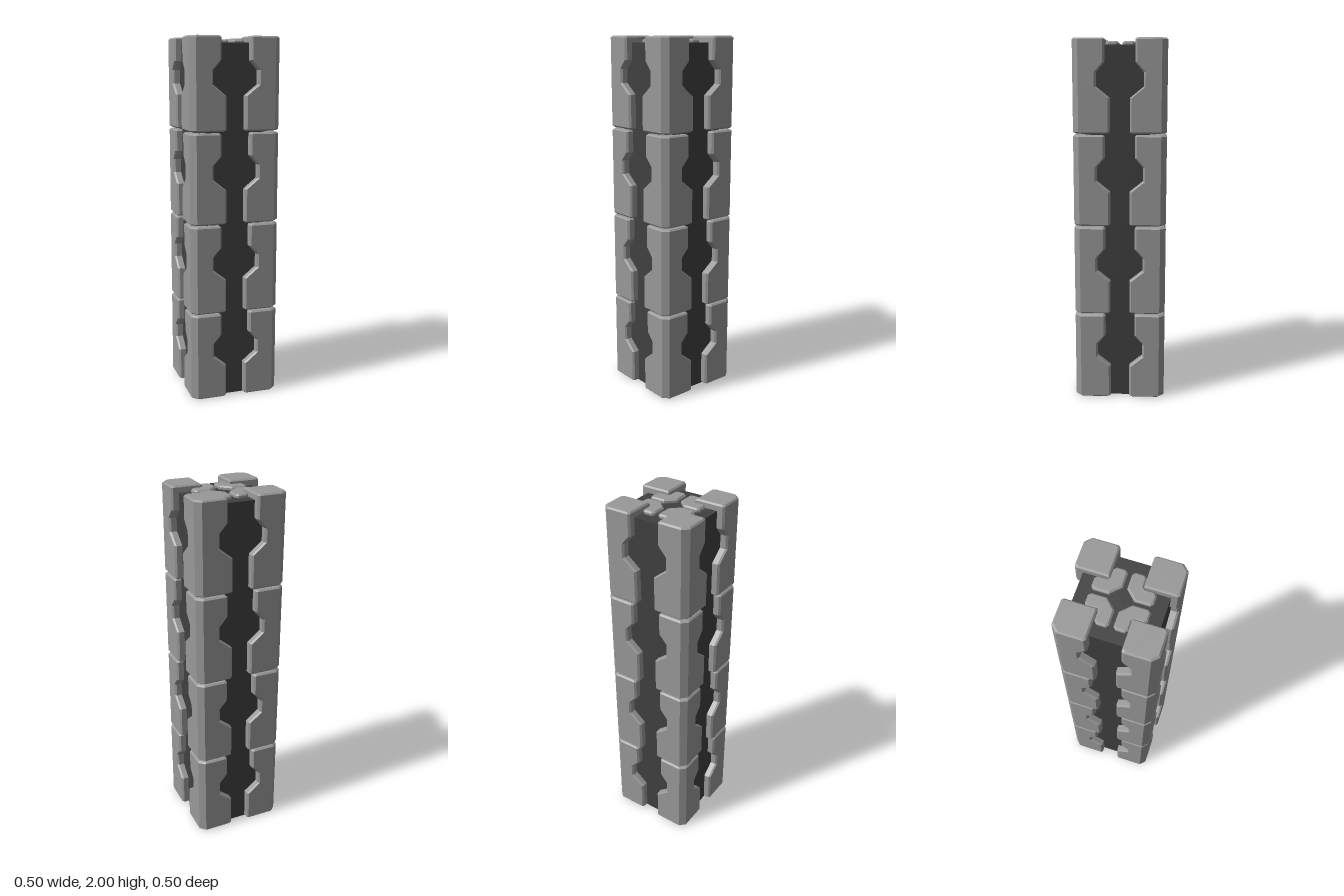
import * as THREE from 'three';

const armourMat = new THREE.MeshStandardMaterial({ color: 0x999999, flatShading: true });
const coreMat = new THREE.MeshStandardMaterial({ color: 0x404040, flatShading: true });

const OUT = 0.25;    // half width of the column
const INNER = 0.19;  // inner face of the armour
const BEVEL = 0.008;

// Closed solid through rings of [x, z] points, ordered counter-clockwise from above
function loft(levels) {
  const pos = [];
  const put = (ring, i) => pos.push(ring.pts[i][0], ring.y, ring.pts[i][1]);
  const n = levels[0].pts.length;
  for (let k = 0; k < levels.length - 1; k++) {
    const lo = levels[k], hi = levels[k + 1];
    for (let i = 0; i < n; i++) {
      const j = (i + 1) % n;
      put(lo, i); put(lo, j); put(hi, j);
      put(lo, i); put(hi, j); put(hi, i);
    }
  }
  const fill = (ring, up) => {
    const contour = ring.pts.map(([x, z]) => new THREE.Vector2(x, -z));
    for (const [a, b, c] of THREE.ShapeUtils.triangulateShape(contour, [])) {
      for (const i of up ? [a, b, c] : [a, c, b]) put(ring, i);
    }
  };
  fill(levels[0], false);
  fill(levels[levels.length - 1], true);
  const geo = new THREE.BufferGeometry();
  geo.setAttribute('position', new THREE.Float32BufferAttribute(pos, 3));
  geo.computeVertexNormals();
  return geo;
}

// Outer edge of a corner: chamfered corner, arms ending at w, shrunk by d
function outerEdge(w, d) {
  const o = OUT - d, e = w + d, c = 0.031, b = 0.01;
  return [[e, o - b], [e + b, o], [o - c, o], [o, o - c], [o, e + b], [o - b, e]];
}
const angleSection = (y, w, d = 0) =>
  ({ y, pts: [...outerEdge(w, d), [INNER, w + d], [INNER, INNER], [w + d, INNER]] });
const capSection = (y, w, d = 0) =>
  ({ y, pts: [...outerEdge(w, d), [w + d, w + d]] });

// One armour angle, with the notch in both arms
function armourSegment(y0, isTop) {
  const s = y0 + 0.006, t = y0 + 0.497;
  const levels = [
    angleSection(s, 0.053, BEVEL), angleSection(s + BEVEL, 0.053),
    angleSection(y0 + 0.192, 0.053), angleSection(y0 + 0.25, 0.125),
    angleSection(y0 + 0.325, 0.125), angleSection(y0 + 0.375, 0.081),
  ];
  if (isTop) levels.push(angleSection(1.95, 0.081));
  else levels.push(angleSection(t - BEVEL, 0.081), angleSection(t, 0.081, BEVEL));
  return loft(levels);
}

// Bevelled angle-shaped pad on the top plate
function padGeometry() {
  const shape = new THREE.Shape([
    [0.01, 0.06], [0.06, 0.01], [0.135, 0.01], [0.148, 0.023], [0.148, 0.066],
    [0.134, 0.08], [0.09, 0.08], [0.08, 0.09], [0.08, 0.134], [0.066, 0.148],
    [0.023, 0.148], [0.01, 0.135],
  ].map(([x, y]) => new THREE.Vector2(x, y)));
  const geo = new THREE.ExtrudeGeometry(shape, {
    depth: 0.02, bevelEnabled: true, bevelSegments: 1,
    bevelSize: BEVEL, bevelThickness: BEVEL, bevelOffset: -BEVEL,
  });
  return geo.rotateX(-Math.PI / 2);
}

export function createModel() {
  const model = new THREE.Group();
  const add = (parent, name, geo, mat) => {
    const mesh = new THREE.Mesh(geo, mat);
    mesh.name = name;
    parent.add(mesh);
    return mesh;
  };

  // Top plate closing the hollow core
  add(model, 'topPlate', new THREE.BoxGeometry(0.418, 0.03, 0.418), coreMat).position.y = 1.95;

  const segments = [0, 1, 2, 3].map((i) => armourSegment(i * 0.5, i === 3));
  const cap = loft([
    capSection(1.95, 0.081), capSection(2 - BEVEL, 0.081), capSection(2, 0.081, BEVEL),
  ]);
  const pad = padGeometry();
  const panel = new THREE.BoxGeometry(0.32, 1.93, 0.025);

  // Four equal quarters around the axis; the bottom stays open
  for (let q = 0; q < 4; q++) {
    const quarter = new THREE.Group();
    quarter.name = 'quarter' + (q + 1);
    quarter.rotation.y = q * Math.PI / 2;
    segments.forEach((geo, i) => add(quarter, 'cornerArmour' + (i + 1), geo, armourMat));
    add(quarter, 'cornerCap', cap, armourMat);
    add(quarter, 'topPad', pad, armourMat).position.y = 1.956;
    add(quarter, 'corePanel', panel, coreMat).position.set(0, 0.97, 0.1965);
    model.add(quarter);
  }
  return model;
}
